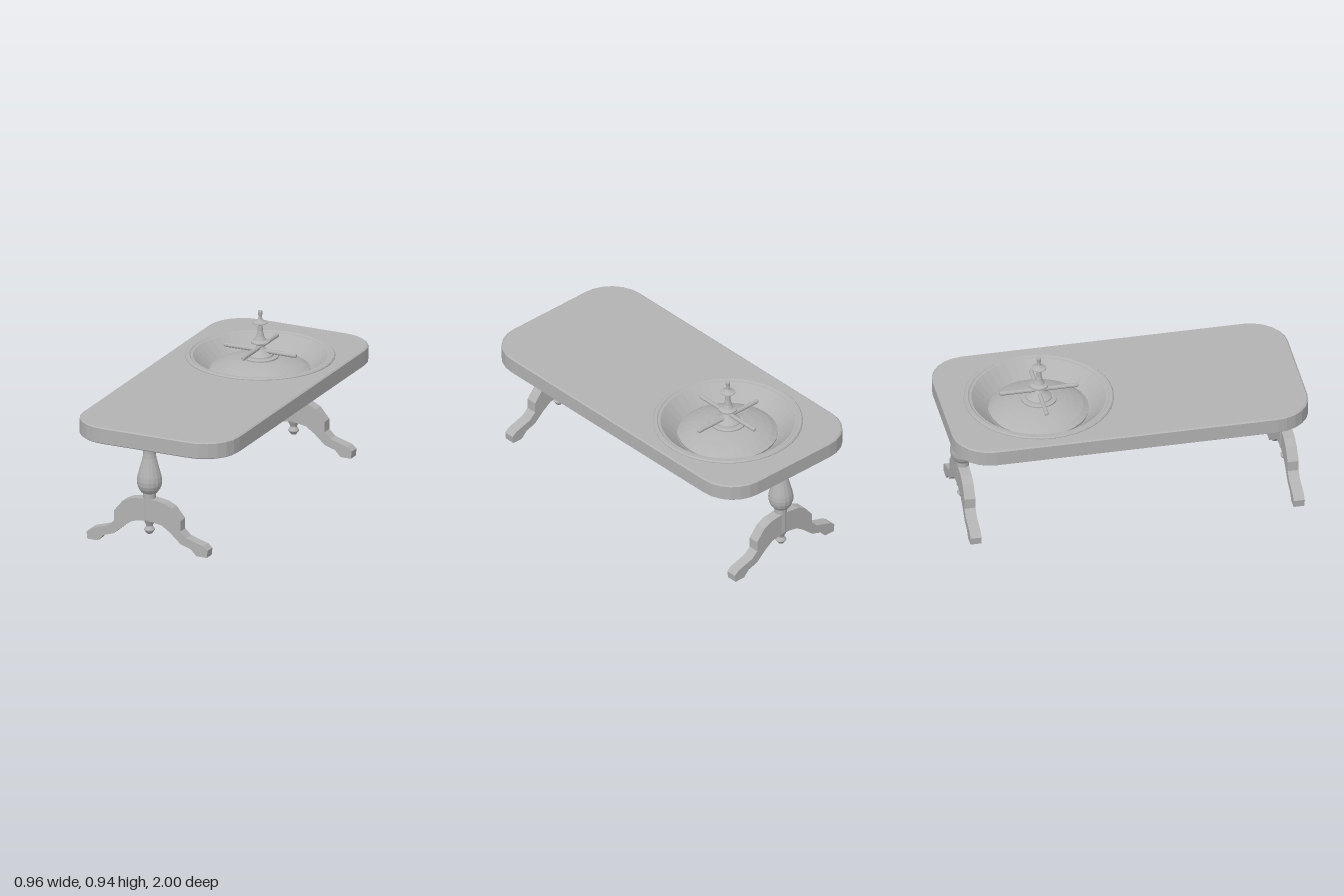
import * as THREE from 'three';

const V = (pts) => pts.map(([x, y]) => new THREE.Vector2(x, y));

export function createModel() {
  const root = new THREE.Group();
  root.name = 'wheelTable';
  const grey = new THREE.MeshStandardMaterial({ color: 0xb2b2b2, flatShading: true });
  grey.name = 'plain grey';

  const add = (parent, name, geometry, x = 0, y = 0, z = 0) => {
    const mesh = new THREE.Mesh(geometry, grey);
    mesh.name = name;
    mesh.position.set(x, y, z);
    parent.add(mesh);
    return mesh;
  };
  const lathe = (pts, sides) => new THREE.LatheGeometry(V(pts), sides);

  const wheelZ = -0.457;

  // Table top: rounded slab with a round opening for the wheel
  const w = 0.478, l = 1, r = 0.21, bevel = 0.006;
  const slab = new THREE.Shape();
  slab.absarc(w - r, l - r, r, 0, Math.PI / 2);
  slab.absarc(-w + r, l - r, r, Math.PI / 2, Math.PI);
  slab.absarc(-w + r, -l + r, r, Math.PI, Math.PI * 1.5);
  slab.absarc(w - r, -l + r, r, Math.PI * 1.5, Math.PI * 2);
  slab.closePath();
  const opening = [];
  for (let i = 0; i < 40; i++) {
    const a = -i / 40 * Math.PI * 2;
    opening.push(new THREE.Vector2(0.378 * Math.cos(a), -wheelZ + 0.378 * Math.sin(a)));
  }
  slab.holes.push(new THREE.Path(opening));
  const top = new THREE.ExtrudeGeometry(slab, {
    depth: 0.096 - 2 * bevel, curveSegments: 3,
    bevelThickness: bevel, bevelSize: 0.008, bevelOffset: -0.008, bevelSegments: 1,
  });
  top.rotateX(-Math.PI / 2);
  add(root, 'tableTop', top, 0, 0.58 + bevel, 0);

  // Wheel: bowl with raised rim, domed rotor, spindle and crossed handles
  const wheel = new THREE.Group();
  wheel.name = 'wheel';
  wheel.position.z = wheelZ;
  root.add(wheel);
  add(wheel, 'bowl', lathe([
    [0, 0.497], [0.08, 0.499], [0.15, 0.508], [0.22, 0.524], [0.29, 0.548], [0.355, 0.577],
    [0.395, 0.584], [0.395, 0.67], [0.415, 0.672], [0.415, 0.68], [0.408, 0.687],
    [0.392, 0.687], [0.385, 0.681], [0.372, 0.68], [0.28, 0.595], [0.26, 0.59], [0, 0.59],
  ], 40));
  add(wheel, 'rotor', lathe([
    [0.275, 0.588], [0.277, 0.606], [0.245, 0.625], [0.2, 0.643], [0.15, 0.658],
    [0.1, 0.668], [0.1, 0.676], [0.085, 0.68], [0, 0.682],
  ], 32));
  add(wheel, 'spindle', lathe([
    [0.075, 0.678], [0.073, 0.687], [0.052, 0.7], [0.035, 0.712], [0.022, 0.728], [0.022, 0.738],
    [0.035, 0.745], [0.052, 0.752], [0.052, 0.761], [0.032, 0.77], [0.022, 0.79], [0.015, 0.82],
    [0.013, 0.86], [0.03, 0.863], [0.042, 0.868], [0.042, 0.872], [0.022, 0.88], [0.012, 0.89],
    [0.01, 0.905], [0.013, 0.93], [0.011, 0.938], [0, 0.939],
  ], 18));
  const handle = lathe([
    [0, -0.222], [0.008, -0.222], [0.012, -0.216], [0.012, 0.216], [0.008, 0.222], [0, 0.222],
  ], 10);
  add(wheel, 'sideHandle', handle, 0, 0.707, 0).rotation.z = Math.PI / 2;
  add(wheel, 'lengthHandle', handle, 0, 0.727, 0).rotation.x = Math.PI / 2;

  // Pedestals: turned column with finial on a pair of arched feet
  const column = lathe([
    [0, 0.08], [0.015, 0.08], [0.03, 0.1], [0.03, 0.105], [0.019, 0.122], [0.019, 0.128],
    [0.033, 0.157], [0.035, 0.165], [0.035, 0.318], [0.045, 0.322], [0.06, 0.343], [0.068, 0.365],
    [0.07, 0.39], [0.067, 0.415], [0.058, 0.45], [0.047, 0.49], [0.038, 0.525], [0.035, 0.55],
    [0.035, 0.585],
  ], 16);
  const half = [
    [0.03, 0.288], [0.1, 0.278], [0.15, 0.255], [0.204, 0.19], [0.204, 0.13], [0.24, 0.096],
    [0.345, 0.064], [0.371, 0.042], [0.366, 0], [0.302, 0], [0.268, 0.036], [0.205, 0.056],
    [0.142, 0.112], [0.09, 0.147], [0.03, 0.158],
  ];
  const mirrored = half.map(([x, y]) => [-x, y]).reverse();
  const feet = new THREE.ExtrudeGeometry(new THREE.Shape(V([...half, ...mirrored])), {
    depth: 0.062, bevelEnabled: false,
  });
  feet.translate(0, 0, -0.031);
  for (const [name, z] of [['frontPedestal', 0.932], ['backPedestal', -0.887]]) {
    const pedestal = new THREE.Group();
    pedestal.name = name;
    pedestal.position.set(-0.004, 0, z);
    root.add(pedestal);
    add(pedestal, 'column', column);
    add(pedestal, 'feet', feet);
  }
  return root;
}
